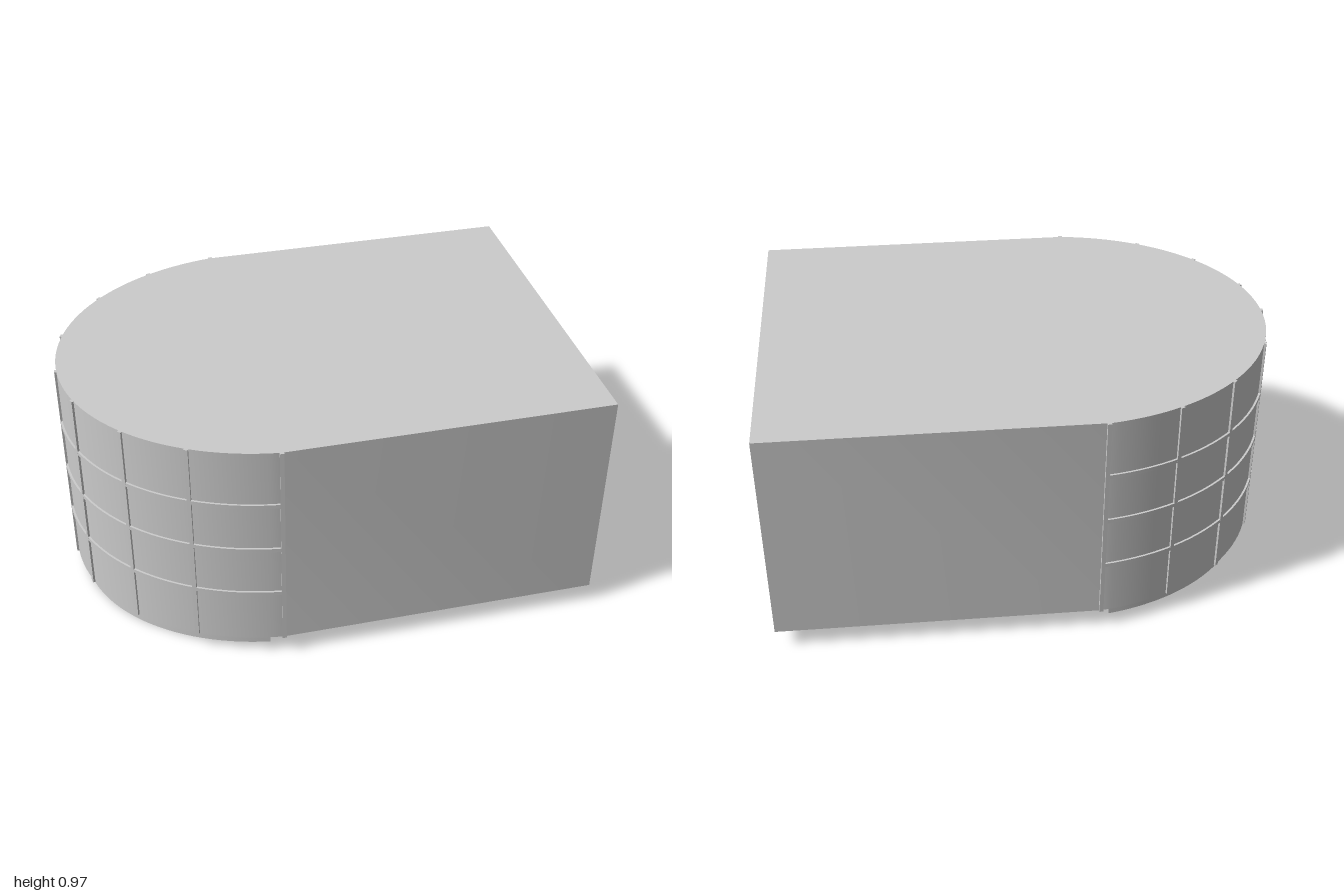
import * as THREE from 'three';
import { toCreasedNormals } from 'three/addons/utils/BufferGeometryUtils.js';

const material = new THREE.MeshStandardMaterial({ color: 0xcccccc });
const CX = -0.15; // centre of the elliptical end
const BOTTOM = 0.08, TOP = 0.975;

// Points along an elliptical bow cut off at x = cut, running from -z to +z
function bow(a, b, cut, n = 56) {
  const t = Math.acos((CX - cut) / a);
  return Array.from({ length: n + 1 }, (_, i) => {
    const k = -t + (2 * t * i) / n;
    return new THREE.Vector2(CX - a * Math.cos(k), b * Math.sin(k));
  });
}

// Extrude a plan outline (x, z) upwards from y0 to y1
function slab(name, points, y0, y1) {
  const shape = new THREE.Shape(points.map((p) => new THREE.Vector2(p.x, -p.y)));
  const raw = new THREE.ExtrudeGeometry(shape, { depth: y1 - y0, bevelEnabled: false });
  raw.rotateX(-Math.PI / 2).translate(0, y0, 0);
  const mesh = new THREE.Mesh(toCreasedNormals(raw, 0.5), material);
  mesh.name = name;
  return mesh;
}

// Curved strip between an outer and an inner bow
const strip = (outer, inner) => [...outer, ...inner.reverse()];

export function createModel() {
  const group = new THREE.Group();
  group.name = 'roundEndedBuilding';

  // Main block with its rounded end
  const corner = (z) => new THREE.Vector2(1, z);
  group.add(slab('body', [...bow(0.842, 0.722, -0.27), corner(0.714), corner(-0.714)], BOTTOM, TOP));

  // Recessed plinth: thin floor with a curved wall, open towards the block
  group.add(slab('plinthFloor', bow(0.815, 0.663, -0.31), 0, 0.02));
  group.add(slab('plinthWall', strip(bow(0.815, 0.663, -0.31), bow(0.66, 0.51, -0.31)), 0.02, BOTTOM));

  // Horizontal glazing bars
  for (const y of [0.315, 0.53, 0.738]) {
    group.add(slab('horizontalBar', strip(bow(0.85, 0.73, -0.265), bow(0.835, 0.715, -0.265)), y - 0.008, y + 0.008));
  }

  // Vertical glazing bars, set square to the curve
  for (const degrees of [-82, -62, -42.5, -19, 1, 18, 39, 58.4, 82]) {
    const t = THREE.MathUtils.degToRad(degrees);
    const bar = new THREE.Mesh(new THREE.BoxGeometry(0.014, TOP - BOTTOM, 0.016), material);
    bar.name = 'verticalBar';
    bar.position.set(CX - 0.843 * Math.cos(t), (TOP + BOTTOM) / 2, 0.723 * Math.sin(t));
    bar.rotation.y = Math.atan2(Math.sin(t) / 0.723, Math.cos(t) / 0.843);
    group.add(bar);
  }
  return group;
}
